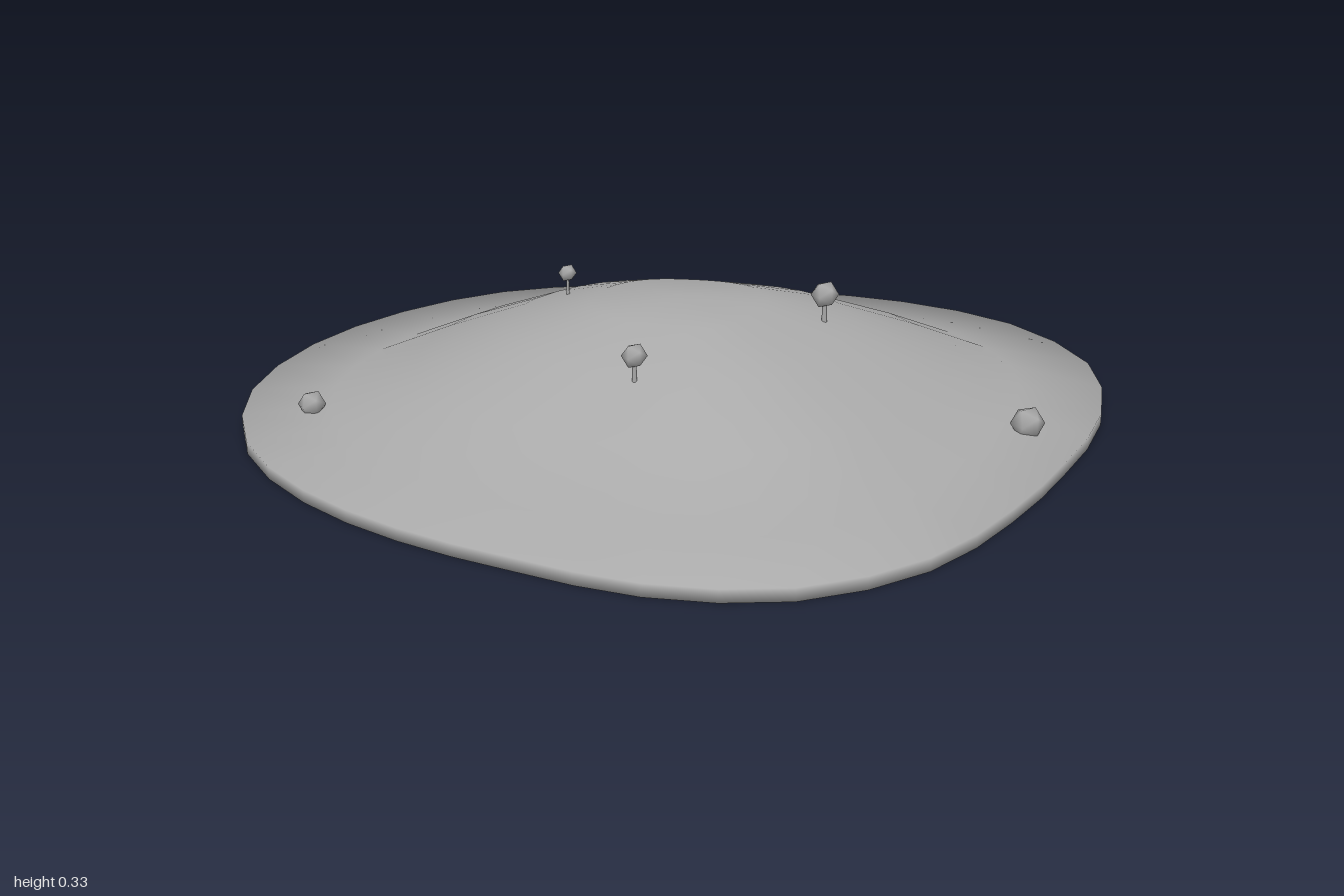
import * as THREE from 'three';
import { mergeVertices } from 'three/addons/utils/BufferGeometryUtils.js';

const SIDES = 40;
const CENTRE_X = -0.04;

// Outline radius every 18 degrees, turning from +x towards +z
const RADII = [1.03, 1.054, 0.992, 0.922, 0.913, 0.949, 0.957, 0.914, 0.868, 0.884,
  0.938, 1.005, 1.037, 1.023, 0.986, 0.944, 0.883, 0.843, 0.865, 0.942];

// Cross-section from underside to summit: [share of outline, height]
const PROFILE = [[1, 0], [1, 0.03], [0.8, 0.045], [0.6, 0.138], [0.4, 0.22], [0.2, 0.28]];
const SUMMIT = 0.297;

function islandGeometry() {
  const outline = new THREE.CatmullRomCurve3(RADII.map((r, i) => {
    const a = (i / RADII.length) * Math.PI * 2;
    return new THREE.Vector3(r * Math.cos(a), 0, r * Math.sin(a));
  }), true);
  const pos = [], index = [];
  for (const [f, y] of PROFILE) {
    for (let i = 0; i < SIDES; i++) {
      const p = outline.getPoint(i / SIDES);
      pos.push(CENTRE_X + p.x * f, y, p.z * f);
    }
  }
  const bottom = pos.length / 3, top = bottom + 1;
  pos.push(CENTRE_X, 0, 0, CENTRE_X, SUMMIT, 0);

  const last = (PROFILE.length - 1) * SIDES;
  for (let i = 0; i < SIDES; i++) {
    const n = (i + 1) % SIDES;
    for (let k = 0; k < last; k += SIDES) {
      const a = k + i, b = k + n, c = a + SIDES, d = b + SIDES;
      index.push(a, c, b, b, c, d);
    }
    index.push(bottom, i, n, top, last + n, last + i);
  }
  const g = new THREE.BufferGeometry();
  g.setAttribute('position', new THREE.Float32BufferAttribute(pos, 3));
  g.setIndex(index);
  g.computeVertexNormals();

  // Round the shading over the thin shoreline edge
  const normal = g.attributes.normal, v = new THREE.Vector3();
  for (let i = 0; i < SIDES * 2; i++) {
    const j = i % SIDES;
    const p = outline.getTangent(j / SIDES);
    v.set(p.z, i < SIDES ? -1 : 1, -p.x).normalize();
    normal.setXYZ(i, v.x, v.y, v.z);
  }
  return g;
}

// Smooth-shaded twenty-sided ball
function ballGeometry(radius) {
  const g = new THREE.IcosahedronGeometry(radius, 0);
  g.deleteAttribute('normal');
  g.deleteAttribute('uv');
  const merged = mergeVertices(g);
  merged.computeVertexNormals();
  return merged;
}

export function createModel() {
  const model = new THREE.Group();
  model.name = 'island';
  const grey = new THREE.MeshStandardMaterial({ color: 0xaaaaaa });
  grey.name = 'grey';

  const add = (parent, name, geometry, x, y, z) => {
    const mesh = new THREE.Mesh(geometry, grey);
    mesh.name = name;
    mesh.position.set(x, y, z);
    parent.add(mesh);
  };

  add(model, 'land', islandGeometry(), 0, 0, 0);

  // Trees: x, z, crown height, crown radius, trunk foot
  const trees = [
    [-0.19, -0.27, 0.302, 0.022, 0.24],
    [-0.30, 0.24, 0.277, 0.029, 0.215],
    [0.24, 0.19, 0.304, 0.033, 0.235],
  ];
  for (const [x, z, y, r, foot] of trees) {
    const tree = new THREE.Group();
    tree.name = 'tree';
    tree.position.set(x, 0, z);
    add(tree, 'crown', ballGeometry(r), 0, y, 0);
    add(tree, 'trunk', new THREE.CylinderGeometry(r * 0.14, r * 0.2, y - foot, 6), 0, (y + foot) / 2, 0);
    model.add(tree);
  }

  // Boulders half sunk into the shore
  add(model, 'boulder', ballGeometry(0.033), -0.81, 0.056, -0.385);
  add(model, 'boulder', ballGeometry(0.04), 0.53, 0.058, 0.585);
  return model;
}
